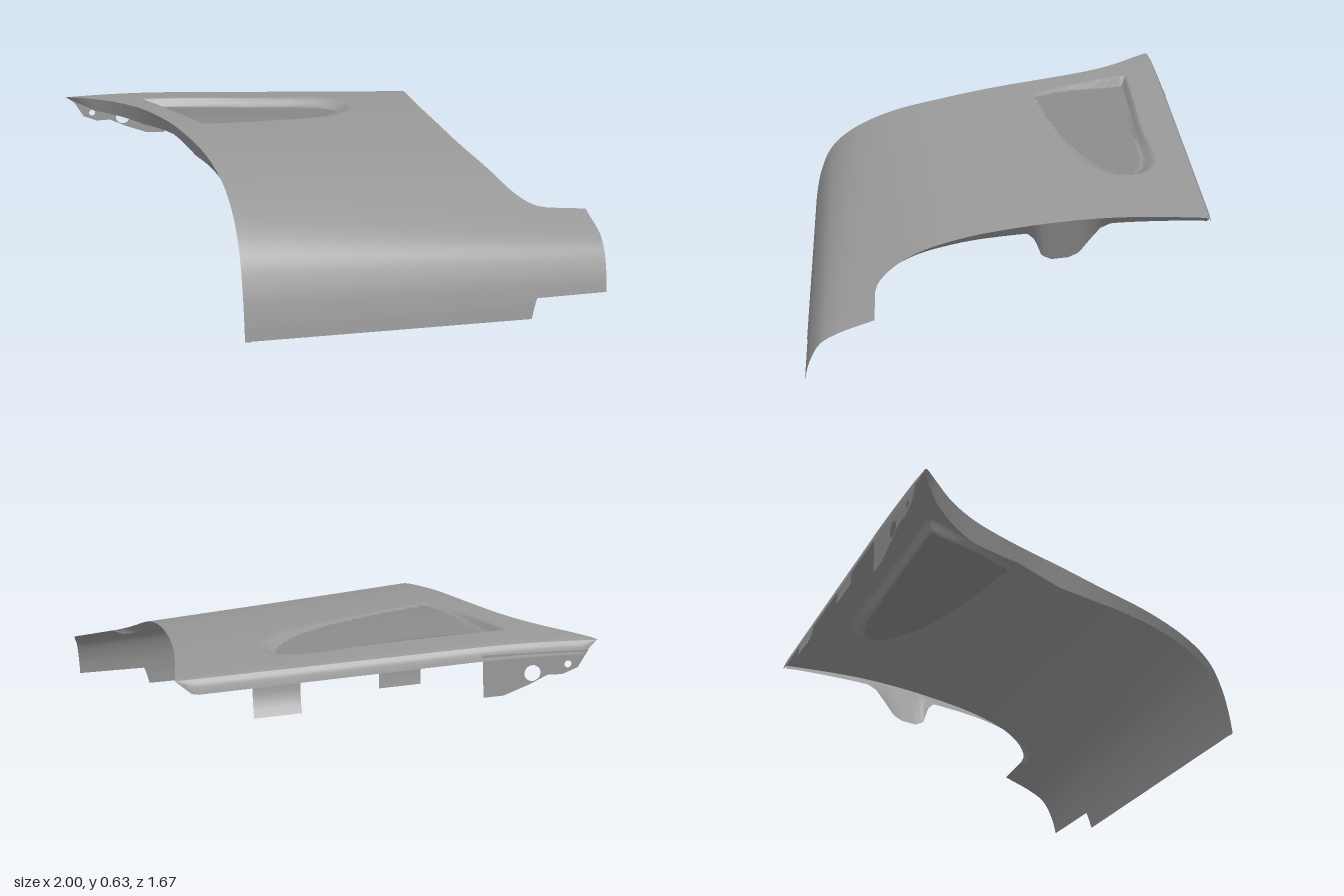
import * as THREE from 'three';

const paint = new THREE.MeshStandardMaterial({ color: 0x989898, side: THREE.DoubleSide });
const mesh = new THREE.MeshStandardMaterial({ color: 0x8a8a8a, side: THREE.DoubleSide });

// piecewise-linear lookup in [[key, value], ...]
function lookup(table, k) {
  if (k <= table[0][0]) return table[0][1];
  for (let i = 1; i < table.length; i++) {
    const [a, va] = table[i - 1], [b, vb] = table[i];
    if (k <= b) return va + (vb - va) * (k - a) / (b - a);
  }
  return table[table.length - 1][1];
}

// smooth version of a lookup table, sampled along a curve
function smoothTable(table, count = 120) {
  const curve = new THREE.CatmullRomCurve3(table.map(([k, v]) => new THREE.Vector3(k, v, 0)), false, 'centripetal');
  return curve.getSpacedPoints(count).map(p => [p.x, p.y]);
}

// lengthwise section of the panel, (z, y), from rear to front lip, with extra rows at the tab corners
const section = smoothTable([
  [-0.775, 0.6], [-0.76, 0.604], [-0.6, 0.615], [-0.33, 0.624], [-0.06, 0.619], [0.21, 0.594], [0.48, 0.538],
  [0.655, 0.455], [0.75, 0.365], [0.802, 0.25], [0.828, 0.135], [0.838, 0.058]], 180);
const spine = [...section, ...[0.538, 0.539, 0.825, 0.826].map(z => [z, lookup(section, z)])]
  .sort((a, b) => a[0] - b[0]);

const leftCut = smoothTable([[-0.77, -1], [-0.7, -0.925], [-0.6, -0.825], [-0.5, -0.75], [-0.4, -0.695], [-0.2, -0.62],
  [0, -0.57], [0.2, -0.53], [0.4, -0.51], [0.6, -0.505], [0.84, -0.515]]);
const rightCut = [
  ...smoothTable([[-0.78, 0.625], [-0.4, 0.605], [0, 0.62], [0.2, 0.645], [0.4, 0.69], [0.48, 0.73], [0.525, 0.78], [0.538, 0.83]]),
  [0.539, 1], [0.7, 1], [0.825, 0.985], [0.826, 0.68], [0.838, 0.655]];
const slope = smoothTable([[-0.8, 0.065], [-0.4, 0.082], [0, 0.1], [0.3, 0.104], [0.55, 0.117], [0.7, 0.092], [0.838, 0.045]]);

// side vent outline, (x, z)
const vent = new THREE.SplineCurve([[0, -0.6], [0.12, -0.585], [0.195, -0.55], [0.215, -0.5], [0.19, -0.435],
  [0.1, -0.35], [-0.06, -0.275], [-0.25, -0.22]].map(p => new THREE.Vector2(...p))).getPoints(32);
vent.push(new THREE.Vector2(-0.47, -0.18), new THREE.Vector2(-0.66, -0.61));

// distance inside the vent outline (negative outside)
function ventDistance(x, z) {
  let inside = false, best = Infinity;
  for (let i = 0; i < vent.length; i++) {
    const a = vent[i], b = vent[(i + 1) % vent.length];
    const dx = b.x - a.x, dz = b.y - a.y;
    const t = THREE.MathUtils.clamp(((x - a.x) * dx + (z - a.y) * dz) / (dx * dx + dz * dz), 0, 1);
    best = Math.min(best, Math.hypot(x - a.x - t * dx, z - a.y - t * dz));
    if ((a.y > z) !== (b.y > z) && x < a.x + dx * (z - a.y) / dz) inside = !inside;
  }
  return inside ? best : -best;
}

// vent depth: deep along the rear and round end, nearly flush along the front
function ventDepth(x, z) {
  if (x < -0.75 || x > 0.35 || z < -0.72 || z > -0.08) return 0;
  const bevel = THREE.MathUtils.lerp(0.012, 0.065, THREE.MathUtils.smoothstep(x, -0.2, 0.22));
  const deep = THREE.MathUtils.lerp(0.038, 0.008, THREE.MathUtils.smoothstep(z, -0.6, -0.22));
  return deep * THREE.MathUtils.smoothstep(ventDistance(x, z), -bevel, 0.006);
}

// point on the skin at width x over section point (z, y)
function skin(x, [pz, py]) {
  const e = x + 0.5;
  const fall = lookup(slope, pz) * e + 0.09 * Math.min(0, e) ** 2;
  const z = pz - 0.02 * Math.max(0, e) * THREE.MathUtils.smoothstep(pz, 0.3, 0.8);
  return [x, py - fall - ventDepth(x, z), z];
}

// grid surface whose faces are sorted by pick(x, z) into [name, material] parts
function sheet(group, parts, rows, cols, at, pick = () => 0) {
  const pos = [], faces = parts.map(() => []);
  for (let i = 0; i <= rows; i++) for (let j = 0; j <= cols; j++) pos.push(...at(i, j));
  for (let i = 0; i < rows; i++) for (let j = 0; j < cols; j++) {
    const a = i * (cols + 1) + j, c = a + cols + 1;
    faces[pick(pos[a * 3], pos[a * 3 + 2])].push(a, c, a + 1, c, c + 1, a + 1);
  }
  const base = new THREE.BufferGeometry();
  base.setAttribute('position', new THREE.Float32BufferAttribute(pos, 3));
  base.setIndex(faces.flat());
  base.computeVertexNormals();
  parts.forEach(([name, material], k) => {
    const part = new THREE.Mesh(base.clone().setIndex(faces[k]), material);
    part.name = name;
    group.add(part);
  });
}

export function createModel() {
  const group = new THREE.Group();
  group.name = 'bodyPanel';

  // curved outer skin with its recessed vent
  const COLS = 150;
  sheet(group, [['panelSkin', paint], ['ventFloor', mesh]], spine.length - 1, COLS, (i, j) => {
    const p = spine[i];
    return skin(THREE.MathUtils.lerp(lookup(leftCut, p[0]), lookup(rightCut, p[0]), j / COLS), p);
  }, (x, z) => (ventDistance(x, z) > 0.006 ? 1 : 0));

  // flanges folded under both side edges; the +x one carries a mounting ear
  const leftDrop = [[-0.775, 0.01], [-0.68, 0.06], [-0.45, 0.08], [-0.2, 0.06], [0.02, 0.08], [0.3, 0.05], [0.75, 0.025], [0.838, 0.005]];
  const rightDrop = [[-0.77, 0.04], [-0.4, 0.055], [-0.36, 0.075], [-0.32, 0.13], [-0.28, 0.19], [-0.24, 0.21],
    [-0.17, 0.21], [-0.13, 0.185], [-0.1, 0.1], [-0.07, 0.065], [0.3, 0.042], [0.538, 0.02]];
  for (const [name, cut, drops, inward, end] of [
    ['leftEdgeFlange', leftCut, leftDrop, 0.02, 0.84],
    ['rightEdgeFlange', rightCut, rightDrop, -0.05, 0.5385],
  ]) {
    const edge = spine.filter(p => p[0] < end);
    sheet(group, [[name, paint]], edge.length - 1, 4, (i, j) => {
      const p = edge[i], [x, y, z] = skin(lookup(cut, p[0]), p), t = j / 4, drop = lookup(drops, p[0]);
      return [x + inward * (1 + 4 * drop) * t, y - drop * t, z];
    });
  }

  // turned-down rear lip
  sheet(group, [['rearLip', paint]], 4, 60, (i, j) => {
    const x = THREE.MathUtils.lerp(-0.99, 0.62, j / 60), t = i / 4;
    const [, y, z] = skin(x, spine[0]);
    const reach = lookup([[-0.99, 0.005], [-0.94, 0.05], [0.56, 0.055], [0.62, 0.005]], x);
    return [x, y - reach * t, z - 0.4 * reach * Math.sqrt(t)];
  });

  // small clips below the rear lip: [x from, x to, drop, kick-out]
  for (const [x0, x1, drop, kick] of [[0.16, 0.34, 0.11, 0.04], [-0.3, -0.14, 0.06, 0.004]]) {
    sheet(group, [['rearClip', paint]], 4, 4, (i, j) => {
      const t = i / 4, x = THREE.MathUtils.lerp(x0, x1, j / 4);
      const [, y, z] = skin(x, spine[0]);
      return [x, y - 0.05 - drop * t, z - 0.02 - kick * t * t];
    });
  }

  // pierced bracket at the rear corner
  const outline = new THREE.Shape([[-0.96, 0.58], [-0.92, 0.51], [-0.86, 0.485], [-0.8, 0.485], [-0.73, 0.45], [-0.63, 0.41],
    [-0.55, 0.405], [-0.54, 0.575]].map(p => new THREE.Vector2(...p)));
  for (const [x, y, r] of [[-0.74, 0.495, 0.032], [-0.88, 0.525, 0.014]]) {
    outline.holes.push(new THREE.Path().absarc(x, y, r, 0, Math.PI * 2, true));
  }
  const bracket = new THREE.Mesh(new THREE.ShapeGeometry(outline, 12), paint);
  bracket.name = 'rearBracket';
  bracket.position.z = -0.793;
  group.add(bracket);

  return group;
}
